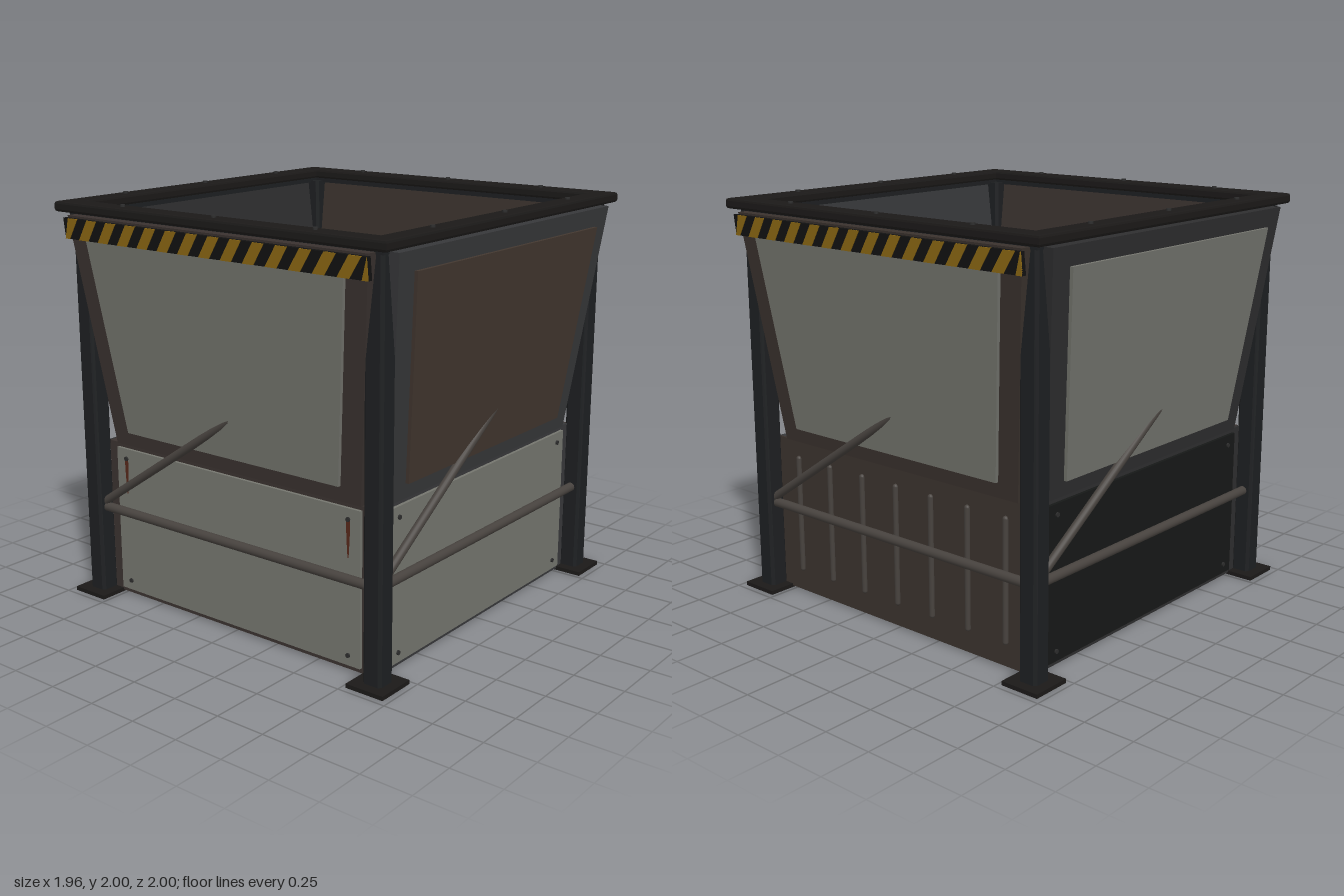
import * as THREE from 'three';

const mat = (color) => new THREE.MeshStandardMaterial({ color, roughness: 0.8, side: THREE.DoubleSide });
const STEEL = mat(0x1d1f21), RIM = mat(0x1b1918), PIPE = mat(0x47423e), BOLT = mat(0x2c2c2c);
const GREY = mat(0x74756e), RUST = mat(0x42372f), DARK = mat(0x161817);
const YELLOW = mat(0x8f6a14), BLACK = mat(0x121212), DRIP = mat(0x55281a);

const SLOPE = 0.117; // outward lean of the hopper walls
const BASE = 0.8; // height where the hopper starts

function add(parent, name, geometry, material, x = 0, y = 0, z = 0) {
  const mesh = new THREE.Mesh(geometry, material);
  mesh.name = name;
  mesh.position.set(x, y, z);
  parent.add(mesh);
  return mesh;
}

const polygon = (pts) => new THREE.Shape(pts.map(([x, y]) => new THREE.Vector2(x, y)));

// Flat outline extruded from z0 to z1, then leaned outward with height
function leaning(pts, z0, z1) {
  const geo = new THREE.ExtrudeGeometry(polygon(pts), { depth: z1 - z0, bevelEnabled: false });
  const p = geo.attributes.position;
  for (let i = 0; i < p.count; i++) p.setZ(i, p.getZ(i) + z0 + SLOPE * (p.getY(i) - BASE));
  geo.computeVertexNormals();
  return geo;
}

const trapezoid = (w0, y0, w1, y1) => [[-w0, y0], [w0, y0], [w1, y1], [-w1, y1]];

// Round bar between two points
function bar(parent, name, a, b, radius, material) {
  const from = new THREE.Vector3(...a), to = new THREE.Vector3(...b);
  const dir = to.clone().sub(from);
  const mesh = add(parent, name, new THREE.CylinderGeometry(radius, radius, dir.length(), 16), material);
  mesh.position.copy(from).lerp(to, 0.5);
  mesh.quaternion.setFromUnitVectors(new THREE.Vector3(0, 1, 0), dir.normalize());
}

// Slanted yellow stripes on a black strip, clipped at both ends
function hazardStrip(parent) {
  const half = 0.895, y0 = 1.82, y1 = 1.92, lean = 0.07, pitch = 0.128;
  add(parent, 'hazardStrip', leaning(trapezoid(half, y0, half, y1), 0.84, 0.864), BLACK);
  for (let x = -half - lean / 2; x < half; x += pitch) {
    const w = pitch / 2;
    const clip = (v) => Math.min(half, Math.max(-half, v));
    const pts = [[clip(x), y0], [clip(x + w), y0], [clip(x + w + lean), y1], [clip(x + lean), y1]];
    add(parent, 'hazardStripe', leaning(pts, 0.86, 0.867), YELLOW);
  }
}

function bolts(parent, z) {
  for (const x of [-0.69, 0.69]) for (const y of [0.085, 0.73]) {
    const geo = new THREE.CylinderGeometry(0.011, 0.011, 0.012, 12).rotateX(Math.PI / 2);
    add(parent, 'plateBolt', geo, BOLT, x, y, z);
  }
}

function side({ name, frame, upper, lower, hazard, ribs, drips }) {
  const g = new THREE.Group();
  g.name = name;
  // Leaning hopper wall with its cover plate
  add(g, 'hopperWall', leaning(trapezoid(0.755, BASE, 0.886, 1.93), 0.755, 0.843), frame);
  add(g, 'upperPlate', leaning(trapezoid(0.65, 0.875, 0.765, 1.84), 0.84, 0.86), upper);
  if (hazard) hazardStrip(g);

  // Upright lower wall
  add(g, 'lowerWall', new THREE.BoxGeometry(1.64, 0.79, 0.075), frame, 0, 0.405, 0.795);
  if (ribs) {
    for (let i = -3; i <= 3; i++) {
      add(g, 'rib', new THREE.CapsuleGeometry(0.014, 0.58, 4, 10), PIPE, i * 0.226, 0.42, 0.836);
    }
  } else {
    add(g, 'lowerPlate', new THREE.BoxGeometry(1.51, 0.745, 0.02), lower, 0, 0.4075, 0.838);
    bolts(g, 0.85);
  }
  // Rust runs below the upper bolts
  if (drips) for (const x of [-0.69, 0.69]) {
    const pts = [[-0.012, 0], [0.012, 0], [0.009, -0.09], [0.003, -0.18], [-0.003, -0.18], [-0.009, -0.09]];
    add(g, 'rustRun', new THREE.ShapeGeometry(polygon(pts)), DRIP, x, 0.73, 0.85);
  }

  // Horizontal pipe and diagonal brace
  bar(g, 'crossPipe', [-0.83, 0.46, 0.87], [0.83, 0.46, 0.87], 0.023, PIPE);
  bar(g, 'diagonalBrace', [-0.84, 0.48, 0.87], [0.4, 1.31, 0.87], 0.021, PIPE);

  // Bolts along the top rim
  for (const x of [-0.57, 0, 0.57]) {
    add(g, 'rimBolt', new THREE.CylinderGeometry(0.012, 0.012, 0.02, 12), BOLT, x, 1.99, 0.917);
  }
  return g;
}

// Square ring lying flat, with optional bevel
function ring(outer, inner, y0, y1, bevel) {
  const o = outer - bevel, i = inner + bevel;
  const shape = polygon(trapezoid(o, -o, o, o));
  shape.holes.push(polygon(trapezoid(i, -i, i, i)));
  const geo = new THREE.ExtrudeGeometry(shape, {
    depth: y1 - y0 - 2 * bevel, bevelEnabled: bevel > 0, bevelSize: bevel, bevelThickness: bevel, bevelSegments: 2,
  });
  return geo.rotateX(-Math.PI / 2).translate(0, y0 + bevel, 0);
}

function cornerLeg() {
  const g = new THREE.Group();
  g.name = 'cornerLeg';
  const h = 0.05, c = 0.036; // half width and chamfer start
  const outline = [[-c, -h], [c, -h], [h, -c], [h, c], [c, h], [-c, h], [-h, c], [-h, -c]];
  const post = new THREE.ExtrudeGeometry(polygon(outline), { depth: 1.93, bevelEnabled: false }).rotateX(-Math.PI / 2);
  add(g, 'post', post, STEEL);
  add(g, 'footPlate', new THREE.BoxGeometry(0.2, 0.02, 0.2), RIM, 0, 0.01, 0);
  return g;
}

export function createModel() {
  const model = new THREE.Group();
  model.name = 'hopper';

  // Four sides in turn: front, right, back, left
  const sides = [
    { name: 'frontSide', frame: mat(0x3a322f), upper: GREY, lower: GREY, hazard: true, drips: true },
    { name: 'rightSide', frame: mat(0x37383a), upper: RUST, lower: GREY },
    { name: 'backSide', frame: mat(0x3a322d), upper: GREY, hazard: true, ribs: true },
    { name: 'leftSide', frame: mat(0x2e2e2f), upper: GREY, lower: DARK },
  ];
  sides.forEach((options, i) => {
    const s = side(options);
    s.rotation.y = i * Math.PI / 2;
    model.add(s);
  });

  for (const x of [-0.87, 0.87]) for (const z of [-0.87, 0.87]) {
    const leg = cornerLeg();
    leg.position.set(x, 0, z);
    model.add(leg);
  }

  // Top rim with a narrower collar beneath
  add(model, 'topRim', ring(0.975, 0.865, 1.94, 1.99, 0.012), RIM);
  add(model, 'rimCollar', ring(0.925, 0.87, 1.92, 1.945, 0), STEEL);
  return model;
}
